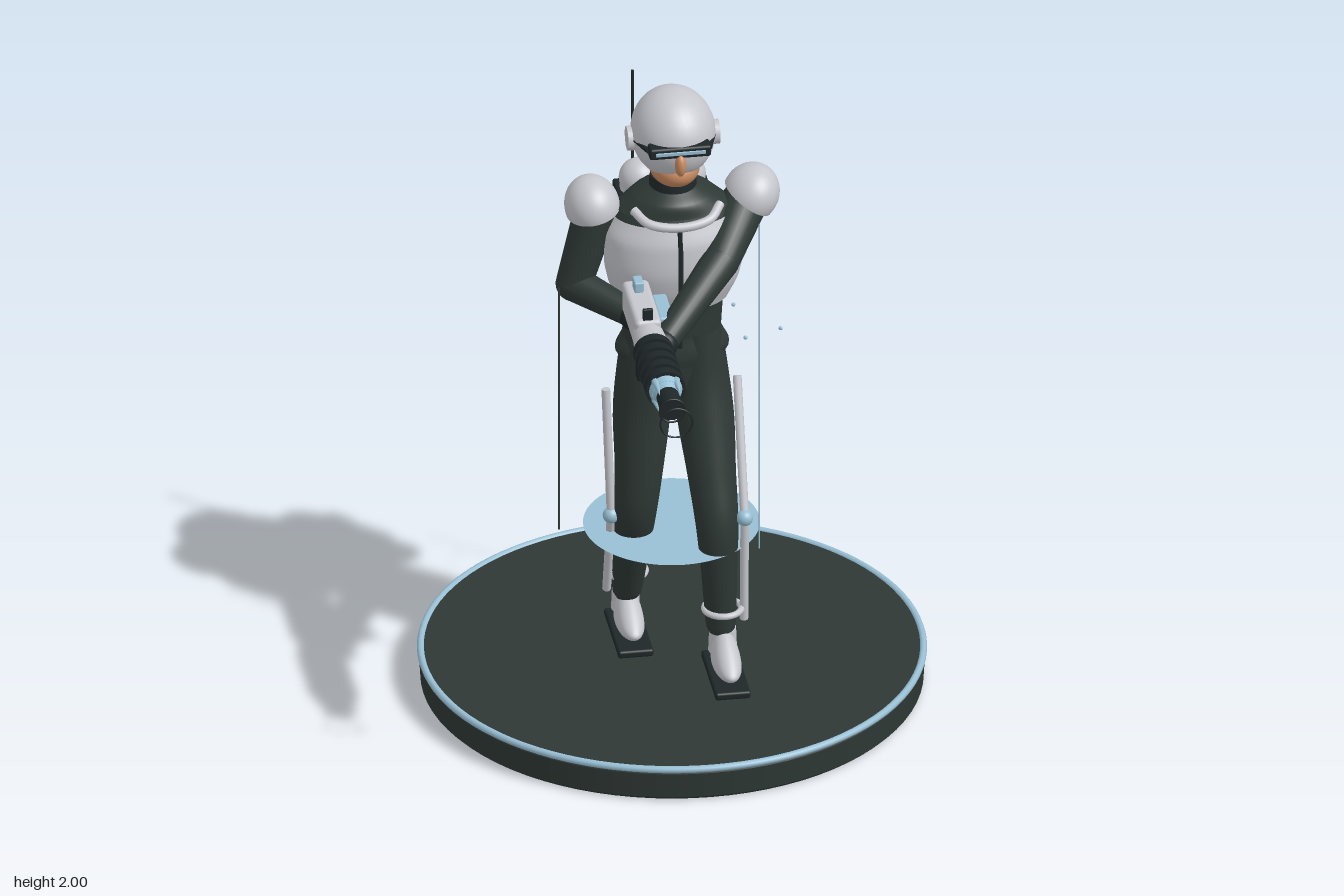
import * as THREE from 'three';
import { RoundedBoxGeometry } from 'three/addons/geometries/RoundedBoxGeometry.js';

const V = (x, y, z) => new THREE.Vector3(x, y, z);
const mat = (name, color, side = THREE.FrontSide) => {
  const m = new THREE.MeshStandardMaterial({ color, side });
  m.name = name;
  return m;
};

// Smooth skin through elliptical sections [y, cx, cz, rx, rz], listed bottom to top
function loft(sections, a0 = 0, a1 = Math.PI * 2, rows = 32, cols = 32) {
  const mid = new THREE.CatmullRomCurve3(sections.map(s => V(s[1], s[0], s[2])));
  const rad = new THREE.CatmullRomCurve3(sections.map(s => V(s[3], 0, s[4])));
  const closed = a1 - a0 > 6.28, n = closed ? cols : cols + 1;
  const pos = [], idx = [];
  for (let i = 0; i <= rows; i++) {
    const c = mid.getPoint(i / rows), r = rad.getPoint(i / rows);
    for (let j = 0; j < n; j++) {
      const a = a0 + (a1 - a0) * j / cols;
      pos.push(c.x + r.x * Math.sin(a), c.y, c.z + r.z * Math.cos(a));
    }
  }
  for (let i = 0; i < rows; i++) for (let j = 0; j < cols; j++) {
    const k = (j + 1) % n, p = i * n, q = p + n;
    idx.push(p + j, p + k, q + k, p + j, q + k, q + j);
  }
  const g = new THREE.BufferGeometry();
  g.setAttribute('position', new THREE.Float32BufferAttribute(pos, 3));
  g.setIndex(idx);
  g.computeVertexNormals();
  return g;
}

export function createModel() {
  const root = new THREE.Group();
  const suit = mat('dark suit', 0x2e3835), black = mat('gunmetal', 0x1f2728);
  const armor = mat('pale armor', 0xc6c7cd), blue = mat('pale blue', 0x98bfd4);
  const skin = mat('skin', 0xc88a60);
  const armorThin = mat('pale armor shell', 0xc6c7cd, THREE.DoubleSide);
  const blueThin = mat('pale blue disc', 0x98bfd4, THREE.DoubleSide);

  const add = (name, g, m, x = 0, y = 0, z = 0, parent = root) => {
    const o = new THREE.Mesh(g, m);
    o.name = name;
    o.position.set(x, y, z);
    parent.add(o);
    return o;
  };
  const ball = r => new THREE.SphereGeometry(r, 32, 20);
  const cyl = (r1, r2, h, n = 28) => new THREE.CylinderGeometry(r1, r2, h, n);
  const box = (w, h, d, r = 0.008) => new RoundedBoxGeometry(w, h, d, 3, r);
  const tube = (pts, r, n = 32) => new THREE.TubeGeometry(new THREE.CatmullRomCurve3(pts.map(p => V(...p))), n, r, 10);
  // Tapered cylinder between two points
  const rod = (name, a, b, r1, r2, m, n = 24) => {
    const p = V(...a), q = V(...b), d = q.clone().sub(p);
    const o = add(name, cyl(r2, r1, d.length(), n), m);
    o.position.copy(p.add(q).multiplyScalar(0.5));
    o.quaternion.setFromUnitVectors(V(0, 1, 0), d.normalize());
    return o;
  };

  // Display base and floating disc
  const cz = -0.09;
  const profile = [[0, 0], [0.735, 0], [0.745, 0.01], [0.75, 0.09], [0.742, 0.107], [0.735, 0.107], [0, 0.107]];
  const flat = profile.slice(1).map((p, i) => new THREE.LatheGeometry([profile[i], p].map(q => new THREE.Vector2(...q)), 80));
  flat.forEach(g => add('base', g, suit, 0, 0, cz));
  add('baseRim', new THREE.TorusGeometry(0.744, 0.011, 10, 96), blue, 0, 0.103, cz).rotation.x = Math.PI / 2;
  add('floatingDisc', new THREE.CircleGeometry(0.262, 64), blueThin, 0, 0.52, -0.1).rotation.x = -Math.PI / 2;

  // Legs: left steps forward, right trails
  add('leftLeg', loft([[0.22, 0.122, 0.06, 0.03, 0.035], [0.25, 0.122, 0.06, 0.044, 0.05], [0.45, 0.115, 0.07, 0.054, 0.056],
    [0.6, 0.11, 0.062, 0.064, 0.066], [0.75, 0.101, 0.015, 0.073, 0.075], [0.93, 0.091, -0.05, 0.086, 0.09],
    [1.06, 0.082, -0.085, 0.083, 0.095], [1.2, 0.07, -0.095, 0.075, 0.092]]), suit);
  add('rightLeg', loft([[0.22, -0.118, -0.205, 0.03, 0.035], [0.25, -0.118, -0.195, 0.044, 0.052], [0.45, -0.117, -0.11, 0.055, 0.056],
    [0.6, -0.115, -0.055, 0.064, 0.064], [0.75, -0.103, -0.06, 0.073, 0.075], [0.93, -0.091, -0.085, 0.086, 0.088],
    [1.06, -0.082, -0.09, 0.083, 0.095], [1.2, -0.07, -0.095, 0.075, 0.092]]), suit);
  add('pelvis', loft([[0.95, 0, -0.085, 0.02, 0.05], [1.02, 0, -0.088, 0.1, 0.085], [1.1, 0, -0.09, 0.145, 0.094], [1.2, 0, -0.095, 0.145, 0.094]]), suit);

  // Boots, soles, ankle rings and braces
  [[1, 0.127, 0.13], [-1, -0.117, -0.165]].forEach(([s, x, z]) => {
    const side = s > 0 ? 'left' : 'right';
    const boot = new THREE.SphereGeometry(1, 32, 20), p = boot.attributes.position;
    for (let i = 0; i < p.count; i++) {
      const t = p.getZ(i), up = p.getY(i);
      p.setXYZ(i, p.getX(i) * 0.043, up > 0 ? up * (0.075 - 0.045 * t) : up * 0.035, t * 0.116);
    }
    boot.computeVertexNormals();
    add(side + 'Boot', boot, armor, x, 0.162, z);
    add(side + 'BootCuff', cyl(0.04, 0.043, 0.075), armor, x, 0.205, z - 0.065);
    add(side + 'Sole', box(0.106, 0.024, 0.275), black, x, 0.118, z - 0.002);
    const ring = add(side + 'AnkleRing', new THREE.TorusGeometry(0.055, 0.01, 10, 32), armor, x, 0.31, s > 0 ? 0.068 : -0.2);
    ring.rotation.x = Math.PI / 2;
  });
  const braces = { left: [[0.197, 1, -0.1], [0.19, 0.62, 0.085], [0.19, 0.27, 0.07]], right: [[-0.2, 1, -0.08], [-0.188, 0.585, -0.055], [-0.18, 0.26, -0.19]] };
  for (const [side, [a, k, b]] of Object.entries(braces)) {
    rod(side + 'ThighBrace', a, k, 0.013, 0.013, armor, 12);
    rod(side + 'ShinBrace', k, b, 0.013, 0.013, armor, 12);
    add(side + 'KneeJoint', ball(0.025), blue, ...k);
  }
  add('thighHolster', box(0.06, 0.12, 0.07), black, 0.12, 0.8, -0.08).rotation.x = -0.15;

  // Torso, chest plates, collar
  add('torso', loft([[1.17, 0, -0.095, 0.146, 0.094], [1.3, 0, -0.095, 0.155, 0.1], [1.43, 0, -0.075, 0.185, 0.122],
    [1.56, 0, -0.075, 0.188, 0.122], [1.63, 0, -0.08, 0.16, 0.105], [1.67, 0, -0.085, 0.08, 0.075], [1.685, 0, -0.085, 0.01, 0.01]]), suit);
  const plate = [[1.31, 0, -0.075, 0.165, 0.115], [1.38, 0, -0.07, 0.196, 0.138], [1.46, 0, -0.068, 0.21, 0.15], [1.54, 0, -0.07, 0.208, 0.145], [1.6, 0, -0.075, 0.18, 0.125]];
  add('leftChestPlate', loft(plate, 0.035, 1.5, 20, 24), armorThin);
  add('rightChestPlate', loft(plate, -1.5, -0.035, 20, 24), armorThin);
  add('chestSeam', box(0.012, 0.4, 0.02, 0.003), black, 0, 1.4, 0.058);
  add('collarTrim', tube([[-0.13, 1.645, 0.0], [-0.09, 1.622, 0.05], [0, 1.612, 0.068], [0.09, 1.622, 0.05], [0.13, 1.645, 0.0]], 0.014), armor);
  add('mantle', loft([[1.62, 0, -0.08, 0.17, 0.12], [1.66, 0, -0.08, 0.12, 0.11], [1.69, 0, -0.08, 0.07, 0.07]]), suit);
  add('neckCollar', cyl(0.068, 0.075, 0.07), black, 0, 1.685, -0.075);

  // Head
  add('chin', ball(1), skin, 0, 1.765, -0.05).scale.set(0.076, 0.058, 0.1);
  add('helmet', ball(1), armor, 0, 1.863, -0.075).scale.set(0.126, 0.137, 0.147);
  add('nose', ball(1), skin, 0, 1.825, 0.07).scale.set(0.017, 0.036, 0.022);
  add('visor', box(0.185, 0.036, 0.05), black, 0, 1.868, 0.05);
  add('visorLens', box(0.15, 0.012, 0.006, 0.002), blue, 0, 1.868, 0.075);
  for (const s of [-1, 1]) {
    add('earCap', cyl(0.037, 0.037, 0.03), armor, s * 0.123, 1.848, -0.077).rotation.z = Math.PI / 2;
    rod('visorArm', [s * 0.09, 1.868, 0.05], [s * 0.12, 1.855, -0.06], 0.008, 0.008, black, 8);
  }

  // Shoulder pads and arms
  const pad = new THREE.SphereGeometry(1, 32, 16, 0, Math.PI * 2, 0, Math.PI * 0.56);
  [[1, -0.6], [-1, 0.2]].forEach(([s, tilt]) => {
    const o = add(s > 0 ? 'leftShoulderPad' : 'rightShoulderPad', pad, armorThin, s * 0.238, 1.618, -0.1);
    o.scale.set(0.082, 0.092, 0.097);
    o.rotation.z = tilt;
  });
  const limb = (side, pts, r) => {
    rod(side + 'UpperArm', pts[0], pts[1], r[0], r[1], suit);
    rod(side + 'Forearm', pts[1], pts[2], r[1], r[2], suit);
    pts.forEach((p, i) => add(side + ['Shoulder', 'Elbow', 'Hand'][i], ball(r[i] * (i === 2 ? 1.15 : 1)), i === 2 ? black : suit, ...p));
  };
  limb('left', [[0.215, 1.59, -0.09], [0.12, 1.49, 0.07], [-0.09, 1.355, 0.3]], [0.07, 0.056, 0.04]);
  limb('right', [[-0.225, 1.6, -0.1], [-0.295, 1.365, -0.085], [-0.14, 1.33, 0.07]], [0.066, 0.054, 0.04]);
  add('elbowCap', ball(0.03), blue, -0.31, 1.35, -0.115);

  // Rifle, pointing along +z from its own origin
  const gun = new THREE.Group();
  gun.name = 'rifle';
  gun.position.set(-0.137, 1.397, 0);
  root.add(gun);
  const along = (name, r1, r2, z0, z1, m, n = 28) => {
    add(name, cyl(r2, r1, z1 - z0, n), m, 0, 0, (z0 + z1) / 2, gun).rotation.x = Math.PI / 2;
  };
  add('receiver', box(0.08, 0.1, 0.26, 0.015), armor, 0, 0.005, 0.2, gun);
  along('receiverNose', 0.045, 0.055, 0.3, 0.42, armor);
  along('barrel', 0.043, 0.043, 0.4, 0.67, blue);
  for (let i = 0; i < 5; i++) along('coolingRing', 0.06, 0.06, 0.412 + i * 0.051, 0.444 + i * 0.051, black);
  for (let i = 0; i < 4; i++) {
    const a = Math.PI / 4 + i * Math.PI / 2;
    const fin = add('muzzleProng', new THREE.ConeGeometry(0.013, 0.09, 10), blue, 0.043 * Math.cos(a), 0.043 * Math.sin(a), 0.69, gun);
    fin.rotation.x = Math.PI / 2;
  }
  along('muzzleCone', 0.05, 0.03, 0.65, 0.7, blue);
  along('muzzle', 0.034, 0.036, 0.69, 0.768, black);
  add('muzzleFrontRing', new THREE.TorusGeometry(0.038, 0.003, 8, 40), black, 0, 0, 0.775, gun);
  add('floatingRing', new THREE.TorusGeometry(0.048, 0.003, 8, 40), black, 0, 0, 0.85, gun);
  add('sight', box(0.03, 0.04, 0.012, 0.003), black, 0, 0.07, 0.315, gun);
  add('rearSight', box(0.028, 0.035, 0.05, 0.005), blue, 0, 0.07, 0.13, gun);
  add('powerCell', box(0.045, 0.045, 0.15), blue, 0.065, 0, 0.185, gun);
  add('foregrip', box(0.035, 0.07, 0.05), black, 0.02, -0.075, 0.36, gun).rotation.x = 0.25;
  add('grip', box(0.036, 0.12, 0.045), black, 0.03, -0.09, 0.1, gun).rotation.z = 0.35;
  add('hose', tube([[-0.11, 1.32, 0.35], [-0.11, 1.27, 0.25], [-0.1, 1.225, 0.15], [-0.07, 1.2, 0.05], [-0.05, 1.205, -0.02]], 0.01), black);
  add('hoseCoupling', box(0.065, 0.075, 0.045), black, -0.12, 1.22, 0.195);
  add('couplingBand', box(0.025, 0.045, 0.05, 0.004), blue, -0.12, 1.22, 0.195);

  // Backpack with twin tanks and antenna
  add('packBody', box(0.26, 0.24, 0.13), suit, 0, 1.43, -0.265);
  add('packLid', box(0.28, 0.085, 0.15), black, 0, 1.525, -0.265);
  add('packStripe', box(0.2, 0.008, 0.006, 0.002), blue, 0, 1.482, -0.338);
  for (const x of [-0.07, 0.07]) {
    add('tank', cyl(0.057, 0.057, 0.4), armor, x, 1.4, -0.272);
    add('tankDome', ball(0.06), armor, x, 1.602, -0.272);
  }
  rod('antenna', [-0.085, 1.55, -0.3], [-0.085, 1.95, -0.3], 0.005, 0.005, black, 8);

  // Thin vertical light lines and drifting specks
  rod('rightLine', [-0.35, 0.57, -0.02], [-0.35, 1.39, -0.02], 0.003, 0.003, suit, 6);
  rod('leftLine', [0.217, 0.57, 0.187], [0.217, 1.67, 0.187], 0.002, 0.002, blue, 6);
  rod('backLine', [0.12, 0.57, -0.415], [0.12, 1.11, -0.415], 0.002, 0.002, blue, 6);
  [[0.335, 1.12, -0.15], [0.268, 0.96, -0.39], [0.055, 0.68, -0.505], [0.065, 0.92, -0.4], [0.2, 1.19, -0.19]]
    .forEach(p => add('speck', new THREE.SphereGeometry(0.006, 10, 8), blue, ...p));

  return root;
}
